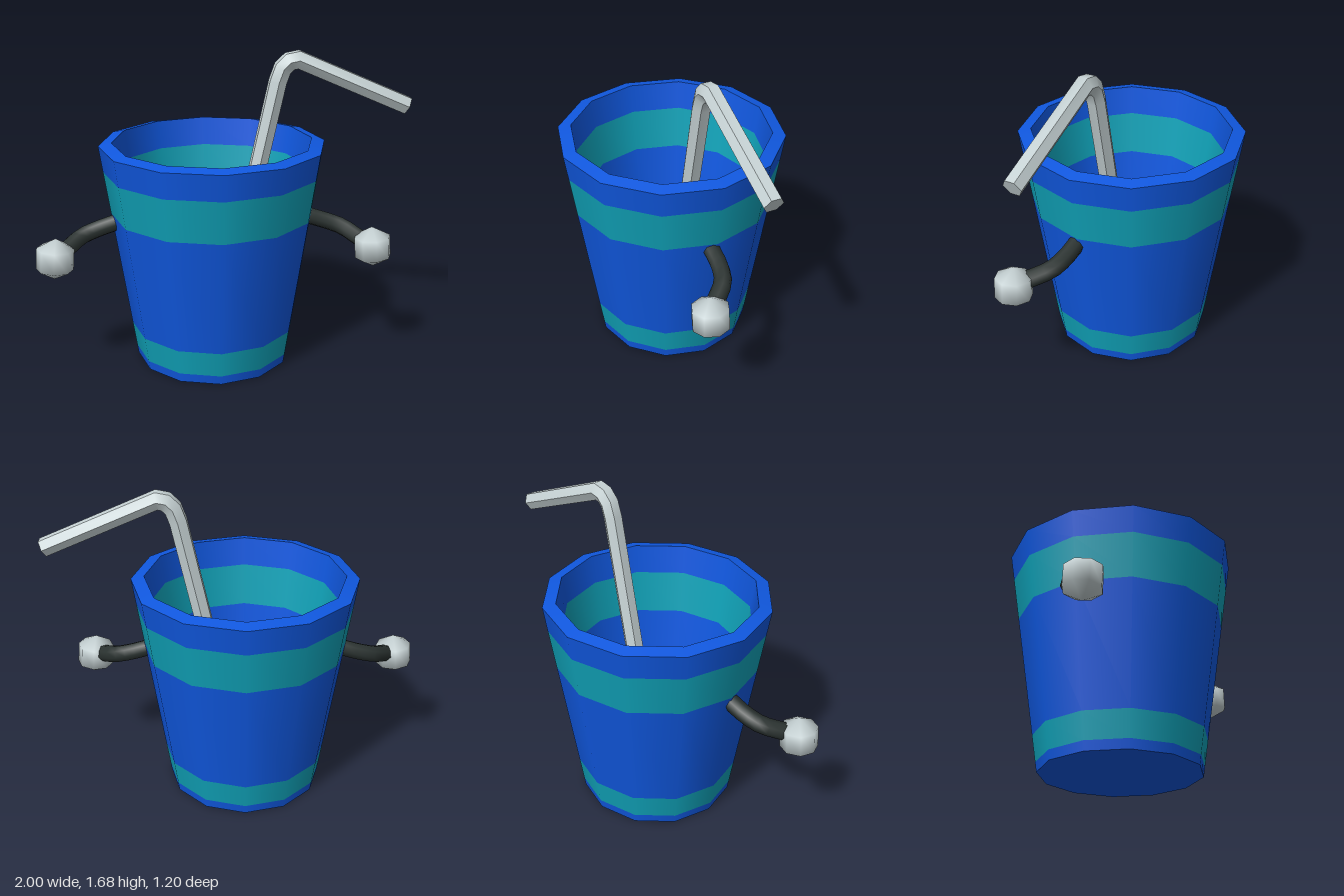
import * as THREE from 'three';
import { toCreasedNormals } from 'three/addons/utils/BufferGeometryUtils.js';

const V = (x, y, z = 0) => new THREE.Vector3(x, y, z);

function material(name, color) {
  const m = new THREE.MeshStandardMaterial({ color });
  m.name = name;
  return m;
}

// Hexagonal rod swept along a path in the xy plane, with mitred joints
function hexRod(points, radius) {
  const pos = [], index = [], n = points.length;
  points.forEach((p, i) => {
    const before = p.clone().sub(points[Math.max(i - 1, 0)]).normalize();
    const after = points[Math.min(i + 1, n - 1)].clone().sub(p).normalize();
    const t = before.clone().add(after).normalize();
    const miter = radius / t.dot(i ? before : after);
    for (let k = 0; k < 6; k++) {
      const a = k * Math.PI / 3, s = Math.sin(a) * miter;
      pos.push(p.x - t.y * s, p.y + t.x * s, Math.cos(a) * radius);
    }
  });
  for (let i = 0; i < n - 1; i++) {
    for (let k = 0; k < 6; k++) {
      const a = i * 6 + k, b = i * 6 + (k + 1) % 6;
      index.push(a, a + 6, b, b, a + 6, b + 6);
    }
  }
  // End caps
  const e = (n - 1) * 6;
  for (let k = 1; k < 5; k++) index.push(0, k, k + 1, e, e + k + 1, e + k);
  const g = new THREE.BufferGeometry();
  g.setAttribute('position', new THREE.Float32BufferAttribute(pos, 3));
  g.setIndex(index);
  return toCreasedNormals(g, 0.75);
}

export function createModel() {
  const blue = material('blue', 0x1058e0);
  const teal = material('teal', 0x10a2b8);
  const grey = material('pale grey', 0xc6d2d4);
  const black = material('charcoal', 0x2b3331);

  const model = new THREE.Group();
  model.name = 'cup';
  const add = (parent, name, geometry, mat) => {
    const mesh = new THREE.Mesh(geometry, mat);
    mesh.name = name;
    parent.add(mesh);
    return mesh;
  };

  // Cup: twelve-sided tapered shell built from coloured rings
  const cup = new THREE.Group();
  cup.name = 'cupBody';
  cup.position.x = -0.07;
  model.add(cup);
  const ring = (name, r0, y0, r1, y1, mat) => add(cup, name,
    new THREE.LatheGeometry([new THREE.Vector2(r0, y0), new THREE.Vector2(r1, y1)], 12), mat);
  const floorY = 0.08, rimY = 1.215;
  const outer = y => 0.42 + 0.18 * y / 1.2;
  const inner = y => 0.355 + 0.175 * (y - floorY) / (rimY - floorY);
  const outerBands = [0, 0.05, 0.19, 0.83, 1.06, 1.2];
  const innerBands = [floorY, 0.19, 0.83, 1.06, rimY];
  outerBands.slice(1).forEach((y, i) => {
    const y0 = outerBands[i];
    ring('outerBand' + i, outer(y0), y0, outer(y), y, i % 2 ? teal : blue);
  });
  innerBands.slice(1).forEach((y, i) => {
    const y0 = innerBands[i];
    ring('innerBand' + i, inner(y), y, inner(y0), y0, i % 2 ? blue : teal);
  });
  ring('rim', 0.6, 1.2, 0.53, rimY, blue);
  ring('base', 0, 0, 0.42, 0, blue);
  ring('floor', 0.355, floorY, 0, floorY, blue);

  // Bent drinking straw
  add(model, 'straw', hexRod([
    V(-0.03, 0.12), V(0.272, 1.52), V(0.297, 1.59), V(0.333, 1.625),
    V(0.38, 1.634), V(0.972, 1.377),
  ], 0.051), grey);

  // Arms and hands, mirrored about the cup
  for (const side of [1, -1]) {
    const arm = new THREE.Group();
    arm.name = side > 0 ? 'leftArm' : 'rightArm';
    cup.add(arm);
    const path = new THREE.CatmullRomCurve3([
      V(0.50, 0.79, 0.02), V(0.61, 0.755, 0.025), V(0.70, 0.725, 0.05),
      V(0.77, 0.69, 0.12), V(0.82, 0.665, 0.18),
    ].map(p => p.setX(p.x * side)));
    add(arm, 'sleeve', new THREE.TubeGeometry(path, 8, 0.046, 8), black);
    const hand = add(arm, 'hand', new THREE.SphereGeometry(0.112, 8, 3), grey);
    hand.position.set(0.84 * side, 0.655, 0.19);
    hand.rotation.z = 0.08 * side;
  }
  return model;
}
